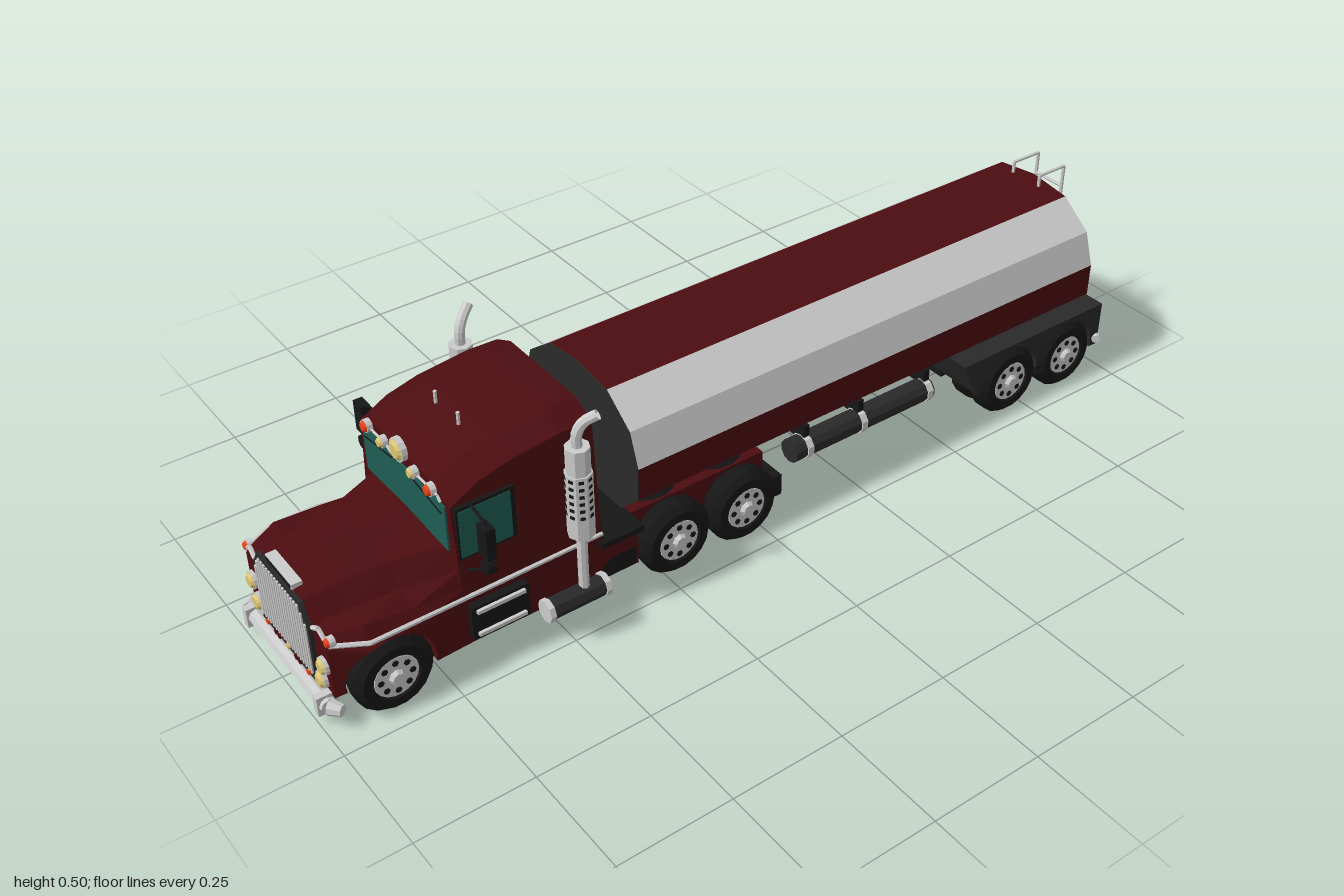
import * as THREE from 'three';

const mat = (color, side = THREE.FrontSide) => new THREE.MeshStandardMaterial({ color, flatShading: true, side });
const GREY = mat(0xcccccc), RED = mat(0x4c0d10), BLACK = mat(0x161616), DARK = mat(0x2a2a2a);
const GLASS = mat(0x1f5d54), AMBER = mat(0xe8441a), CREAM = mat(0xdcc473);
const V = (x, y, z) => new THREE.Vector3(x, y, z);

export function createModel() {
  const root = new THREE.Group();
  let parent = root;

  const add = (name, geo, m) => {
    const mesh = new THREE.Mesh(geo, m);
    mesh.name = name;
    parent.add(mesh);
    return mesh;
  };
  const group = (name, build) => {
    const g = new THREE.Group(), outer = parent;
    g.name = name;
    outer.add(g);
    parent = g;
    build();
    parent = outer;
  };
  // box given by its extents
  const box = (name, x0, x1, y0, y1, z0, z1, m) =>
    add(name, new THREE.BoxGeometry(Math.abs(x1 - x0), y1 - y0, z1 - z0)
      .translate((x0 + x1) / 2, (y0 + y1) / 2, (z0 + z1) / 2), m);
  // straight round bar between two points
  const rod = (name, a, b, r, m, sides = 6, r2 = r) => {
    const d = b.clone().sub(a);
    const geo = new THREE.CylinderGeometry(r2, r, d.length(), sides);
    geo.applyQuaternion(new THREE.Quaternion().setFromUnitVectors(V(0, 1, 0), d.normalize()));
    const c = a.clone().add(b).multiplyScalar(0.5);
    return add(name, geo.translate(c.x, c.y, c.z), m);
  };
  const path = (name, pts, r, m, sides = 6) => {
    for (let i = 1; i < pts.length; i++) rod(name, pts[i - 1], pts[i], r, m, sides);
  };
  const both = fn => { for (const s of [1, -1]) fn(s); };
  // half outline (top to bottom on +x) to a closed ring at z
  const ring = (half, z) => {
    const pts = half.map(([x, y]) => V(x, y, z));
    const mirrored = half.filter(([x]) => x > 0).reverse().map(([x, y]) => V(-x, y, z));
    return [...pts, ...mirrored];
  };
  // skin over rings listed from front to back
  const loft = (name, rings, m, { segs = null, front = true, back = true } = {}) => {
    const out = [], n = rings[0].length;
    const tri = (...p) => p.forEach(v => out.push(v.x, v.y, v.z));
    const mid = r => r.reduce((s, p) => s.add(p), V(0, 0, 0)).divideScalar(n);
    const first = rings[0], last = rings[rings.length - 1], cf = mid(first), cb = mid(last);
    for (let i = 0; i < n; i++) {
      if (segs && !segs.includes(i)) continue;
      const j = (i + 1) % n;
      for (let k = 0; k + 1 < rings.length; k++) {
        const a = rings[k], b = rings[k + 1];
        tri(a[i], a[j], b[i]);
        tri(a[j], b[j], b[i]);
      }
      if (front) tri(cf, first[j], first[i]);
      if (back) tri(cb, last[i], last[j]);
    }
    const geo = new THREE.BufferGeometry();
    geo.setAttribute('position', new THREE.Float32BufferAttribute(out, 3));
    geo.computeVertexNormals();
    return add(name, geo, m);
  };
  // side outline (z, y) extruded from x0 to x1
  const sidePlate = (name, shape, x0, x1, m, reshape) => {
    const geo = new THREE.ExtrudeGeometry(shape, { depth: x1 - x0, bevelEnabled: false, curveSegments: 10 });
    geo.rotateY(-Math.PI / 2).translate(x1, 0, 0);
    if (reshape) {
      const p = geo.attributes.position;
      for (let i = 0; i < p.count; i++) p.setX(i, reshape(p.getX(i), p.getZ(i)));
      geo.computeVertexNormals();
    }
    return add(name, geo, m);
  };
  const lamp = (name, x, y, z, r, m, dir = 1) => {
    rod(name + 'Ring', V(x, y, z - 0.012 * dir), V(x, y, z), r * 1.15, GREY, 12);
    rod(name, V(x, y, z), V(x, y, z + 0.006 * dir), r, m, 12, r * 0.7);
  };

  // ---- wheels
  const wheel = (s, z, dual) => group('wheel', () => {
    const y = 0.083;
    const tyre = (x0, x1) => {
      const w = x1 - x0, prof = [[0.045, 0], [0.07, 0], [0.083, w * 0.25], [0.083, w * 0.75], [0.07, w], [0.05, w], [0.045, w - 0.008], [0, w - 0.008]];
      const geo = new THREE.LatheGeometry(prof.map(p => new THREE.Vector2(...p)), 18);
      add('tyre', geo.rotateZ(-s * Math.PI / 2).translate(s * x0, y, z), BLACK);
    };
    tyre(0.152, 0.21);
    if (dual) tyre(0.09, 0.148);
    rod('rim', V(s * 0.196, y, z), V(s * 0.207, y, z), 0.052, GREY, 18, 0.046);
    for (let i = 0; i < 8; i++) {
      const a = i * Math.PI / 4, hy = y + Math.sin(a) * 0.033, hz = z + Math.cos(a) * 0.033;
      rod('rimHole', V(s * 0.2, hy, hz), V(s * 0.2085, hy, hz), 0.007, BLACK);
    }
    rod('hub', V(s * 0.205, y, z), V(s * 0.216, y, z), 0.018, GREY, 8, 0.012);
  });
  both(s => {
    wheel(s, 0.86, false);
    for (const z of [0.22, 0.05, -0.70, -0.875]) wheel(s, z, true);
  });

  // ---- tractor chassis
  box('chassis', -0.088, 0.088, 0.07, 0.155, -0.05, 0.95, BLACK);
  box('cabFloor', -0.185, 0.185, 0.055, 0.1, 0.31, 0.76, BLACK);
  box('deck', -0.2, 0.2, 0.145, 0.158, 0.3, 0.4, BLACK);
  box('rearBeam', -0.19, 0.19, 0.06, 0.11, -0.055, -0.035, BLACK);
  both(s => {
    box('sideSkirt', s * 0.11, s * 0.185, 0.055, 0.148, 0.305, 0.4, RED);
    box('frameSide', s * 0.08, s * 0.15, 0.09, 0.155, -0.035, 0.32, RED);
    lamp('rearMarker', s * 0.16, 0.085, -0.055, 0.009, CREAM, -1);
  });

  // ---- cab
  group('cab', () => {
    const cabRing = (z, top) => ring([[0, top], [0.114, top], [0.168, top - 0.025], [0.178, 0.26], [0.187, 0.17], [0.187, 0.06], [0, 0.06]], z);
    loft('cabShell', [cabRing(0.70, 0.4), cabRing(0.64, 0.432), cabRing(0.57, 0.45), cabRing(0.46, 0.462), cabRing(0.39, 0.46)], RED);
    box('windshield', -0.155, 0.155, 0.268, 0.371, 0.69, 0.704, GLASS);
    both(s => {
      box('windowFrame', s * 0.165, s * 0.1785, 0.253, 0.374, 0.57, 0.695, BLACK);
      box('sideWindow', s * 0.165, s * 0.18, 0.26, 0.367, 0.58, 0.69, GLASS);
      rod('wiper', V(s * 0.035, 0.368, 0.706), V(s * 0.145, 0.352, 0.706), 0.0015, BLACK);
      box('sideTank', s * 0.18, s * 0.205, 0.08, 0.155, 0.57, 0.695, BLACK);
      for (const y of [0.09, 0.145]) box('step', s * 0.2, s * 0.212, y - 0.004, y + 0.004, 0.58, 0.685, GREY);
      rod('airTank', V(s * 0.21, 0.07, 0.40), V(s * 0.21, 0.07, 0.54), 0.022, DARK, 8);
      for (const z of [0.4, 0.53]) rod('airTankBand', V(s * 0.21, 0.07, z), V(s * 0.21, 0.07, z + 0.012), 0.025, GREY, 8);
      // roof lights
      path('lightRail', [V(s * 0.15, 0.382, 0.707), V(s * 0.14, 0.391, 0.707), V(s * 0.05, 0.391, 0.707), V(s * 0.03, 0.382, 0.707)], 0.003, GREY);
      lamp('roofMarker', s * 0.12, 0.394, 0.715, 0.012, AMBER);
      lamp('roofLamp', s * 0.058, 0.394, 0.715, 0.011, CREAM);
      rod('horn', V(s * 0.042, 0.445, 0.6), V(s * 0.042, 0.472, 0.6), 0.004, GREY);
      // mirrors
      box('mirror', s * 0.217, s * 0.25, 0.292, 0.362, 0.655, 0.675, BLACK);
      rod('roundMirror', V(s * 0.234, 0.268, 0.655), V(s * 0.234, 0.268, 0.675), 0.015, BLACK, 10);
      path('mirrorArm', [V(s * 0.17, 0.37, 0.66), V(s * 0.232, 0.366, 0.665), V(s * 0.234, 0.26, 0.665), V(s * 0.18, 0.228, 0.68)], 0.003, BLACK);
    });
    lamp('centreRoofLamp', 0, 0.41, 0.712, 0.022, CREAM);
  });

  // ---- exhaust stacks
  both(s => group('exhaustStack', () => {
    const x = s * 0.209, z = 0.45;
    rod('lowerPipe', V(x, 0.07, z), V(x, 0.23, z), 0.011, GREY, 8);
    rod('muffler', V(x, 0.36, z), V(x, 0.428, z), 0.025, GREY, 8);
    rod('heatShield', V(x, 0.222, z), V(x, 0.37, z), 0.028, GREY, 8);
    for (let row = 0; row < 6; row++) for (let k = 0; k < 8; k++) {
      const hole = add('shieldHole', new THREE.BoxGeometry(0.01, 0.007, 0.004), BLACK);
      const a = (k + 0.5) * Math.PI / 4;
      hole.position.set(x + Math.sin(a) * 0.025, 0.275 + row * 0.017, z + Math.cos(a) * 0.025);
      hole.rotation.y = a;
    }
    const bend = new THREE.CatmullRomCurve3([V(x, 0.42, z), V(x, 0.455, z), V(x + s * 0.006, 0.48, z - 0.012), V(x + s * 0.02, 0.496, z - 0.035)]);
    add('tailPipe', new THREE.TubeGeometry(bend, 8, 0.011, 8), mat(0xcccccc, THREE.DoubleSide));
  }));

  // ---- hood and front fenders
  group('frontEnd', () => {
    const noseRings = [
      [0.968, [[0, 0.25], [0.085, 0.242], [0.118, 0.205], [0.15, 0.203], [0.168, 0.178], [0, 0.178]]],
      [0.90, [[0, 0.258], [0.09, 0.25], [0.125, 0.212], [0.18, 0.212], [0.203, 0.178], [0, 0.178]]],
      [0.80, [[0, 0.265], [0.105, 0.258], [0.14, 0.218], [0.185, 0.202], [0.203, 0.178], [0, 0.178]]],
      [0.69, [[0, 0.275], [0.14, 0.27], [0.168, 0.225], [0.184, 0.192], [0.19, 0.17], [0, 0.17]]]];
    loft('hood', noseRings.map(([z, half]) => ring(half, z)), RED);
    const arch = new THREE.Shape();
    arch.moveTo(0.968, 0.179);
    arch.lineTo(0.9, 0.179);
    arch.lineTo(0.69, 0.179);
    arch.lineTo(0.69, 0.06);
    arch.lineTo(0.7735, 0.07);
    arch.absarc(0.86, 0.085, 0.088, Math.PI + 0.17, -0.17, true);
    arch.lineTo(0.968, 0.06);
    const taper = (x, z) => Math.abs(x) < 0.15 ? x : Math.sign(x) * (z > 0.9 ? 0.203 - (z - 0.9) * 0.53 : z < 0.75 ? 0.19 + (z - 0.69) * 0.2 : 0.203);
    both(s => {
      sidePlate('fender', arch, s > 0 ? 0.1 : -0.203, s > 0 ? 0.203 : -0.1, RED, taper);
      lamp('headlamp', s * 0.146, 0.128, 0.976, 0.017, CREAM);
      lamp('lowerHeadlamp', s * 0.131, 0.084, 0.976, 0.017, CREAM);
      lamp('turnSignal', s * 0.166, 0.196, 0.965, 0.01, AMBER);
      path('trimStripe', [V(s * 0.118, 0.2, 0.97), V(s * 0.14, 0.212, 0.968), V(s * 0.168, 0.188, 0.965), V(s * 0.203, 0.186, 0.9),
        V(s * 0.203, 0.186, 0.8), V(s * 0.19, 0.174, 0.69), V(s * 0.187, 0.174, 0.39)], 0.005, GREY);
    });
    // grille
    const frame = new THREE.Shape([[-0.113, 0.06], [0.113, 0.06], [0.113, 0.195], [0.088, 0.24], [-0.088, 0.24], [-0.113, 0.195]].map(p => new THREE.Vector2(...p)));
    add('grilleFrame', new THREE.ExtrudeGeometry(frame, { depth: 0.04, bevelEnabled: false }).translate(0, 0, 0.936), DARK);
    for (let i = -9; i <= 9; i++) {
      const x = i * 0.0112, top = Math.abs(x) > 0.082 ? 0.23 - (Math.abs(x) - 0.082) * 1.7 : 0.23;
      rod('grilleBar', V(x, 0.078, 0.977), V(x, top, 0.977), 0.0035, GREY);
    }
    box('hoodVentFrame', -0.054, 0.054, 0.244, 0.256, 0.95, 0.972, GREY);
    box('hoodVent', -0.05, 0.05, 0.247, 0.253, 0.96, 0.974, BLACK);
    for (const [x, m] of [[-0.085, AMBER], [-0.05, RED], [-0.035, RED], [0, CREAM], [0.035, RED], [0.05, RED], [0.085, AMBER]])
      rod('grilleMarker', V(x, 0.069, 0.97), V(x, 0.069, 0.981), 0.006, m, 8);
    // bumper
    rod('frontBumper', V(-0.165, 0.044, 0.98), V(0.165, 0.044, 0.98), 0.017, GREY, 8);
    both(s => {
      rod('bumperEnd', V(s * 0.165, 0.044, 0.98), V(s * 0.188, 0.044, 0.965), 0.017, GREY, 8, 0.012);
      box('bumperGuard', s * 0.14, s * 0.156, 0.022, 0.066, 0.958, 1.0, GREY);
    });
  });

  // ---- tank with coloured bands and a domed rear
  group('tank', () => {
    const half = [[0, 0.445], [0.1, 0.432], [0.175, 0.375], [0.2, 0.3], [0.2, 0.225], [0.14, 0.168], [0, 0.163]];
    const body = [ring(half, 0.31), ring(half, -0.93)], open = { front: false, back: false };
    loft('redBands', body, RED, { ...open, segs: [0, 3, 8, 11] });
    loft('greyBands', body, GREY, { ...open, segs: [1, 2, 4, 5, 6, 7, 9, 10] });
    const shrink = (k, z) => ring(half.map(([x, y]) => [x * k, 0.29 + (y - 0.29) * k]), z);
    loft('rearDome', [body[1], shrink(0.6, -0.957), shrink(0.05, -0.967)], GREY, { front: false });
    loft('frontCap', [shrink(0.999, 0.312), shrink(0.999, 0.305)], DARK);
  });

  // ---- trailer frame and running gear
  group('trailer', () => {
    box('trailerFrame', -0.11, 0.11, 0.15, 0.17, -0.97, 0.29, BLACK);
    box('axleHousing', -0.088, 0.088, 0.07, 0.16, -0.97, -0.6, BLACK);
    const guard = new THREE.Shape();
    guard.moveTo(-0.555, 0.178);
    guard.lineTo(-0.985, 0.178);
    guard.lineTo(-0.985, 0.07);
    guard.lineTo(-0.96, 0.07);
    guard.absarc(-0.875, 0.083, 0.085, Math.PI, 0, true);
    guard.absarc(-0.70, 0.083, 0.085, Math.PI, 0, true);
    guard.lineTo(-0.6, 0.085);
    sidePlate('wheelGuard', guard, -0.203, 0.203, DARK);
    both(s => {
      rod('bellyPipe', V(s * 0.14, 0.113, -0.505), V(s * 0.14, 0.113, -0.115), 0.027, DARK, 10);
      for (const z of [-0.5, -0.31, -0.16]) {
        rod('pipeBand', V(s * 0.14, 0.113, z), V(s * 0.14, 0.113, z + 0.015), 0.03, GREY, 10);
        box('pipeHanger', s * 0.1, s * 0.15, 0.13, 0.168, z, z + 0.015, BLACK);
      }
      rod('tailLamp', V(s * 0.175, 0.14, -0.98), V(s * 0.175, 0.14, -0.99), 0.014, AMBER, 10);
      rod('reverseLamp', V(s * 0.13, 0.125, -0.98), V(s * 0.13, 0.125, -0.99), 0.01, CREAM, 10);
      rod('bumperTip', V(s * 0.19, 0.09, -0.99), V(s * 0.212, 0.09, -0.97), 0.01, GREY, 8);
      // ladder rails hooked over the tank
      path('ladderRail', [V(s * 0.04, 0.175, -0.982), V(s * 0.04, 0.466, -0.982), V(s * 0.04, 0.466, -0.905), V(s * 0.04, 0.437, -0.905)], 0.004, GREY);
    });
    for (let y = 0.215; y < 0.44; y += 0.05) rod('ladderRung', V(-0.04, y, -0.982), V(0.04, y, -0.982), 0.004, GREY);
    rod('rearBumper', V(-0.19, 0.09, -0.99), V(0.19, 0.09, -0.99), 0.01, GREY, 8);
    box('plateFrame', -0.06, 0.06, 0.112, 0.148, -0.988, -0.98, GREY);
    box('plate', -0.055, 0.055, 0.117, 0.143, -0.99, -0.98, BLACK);
  });

  return root;
}
